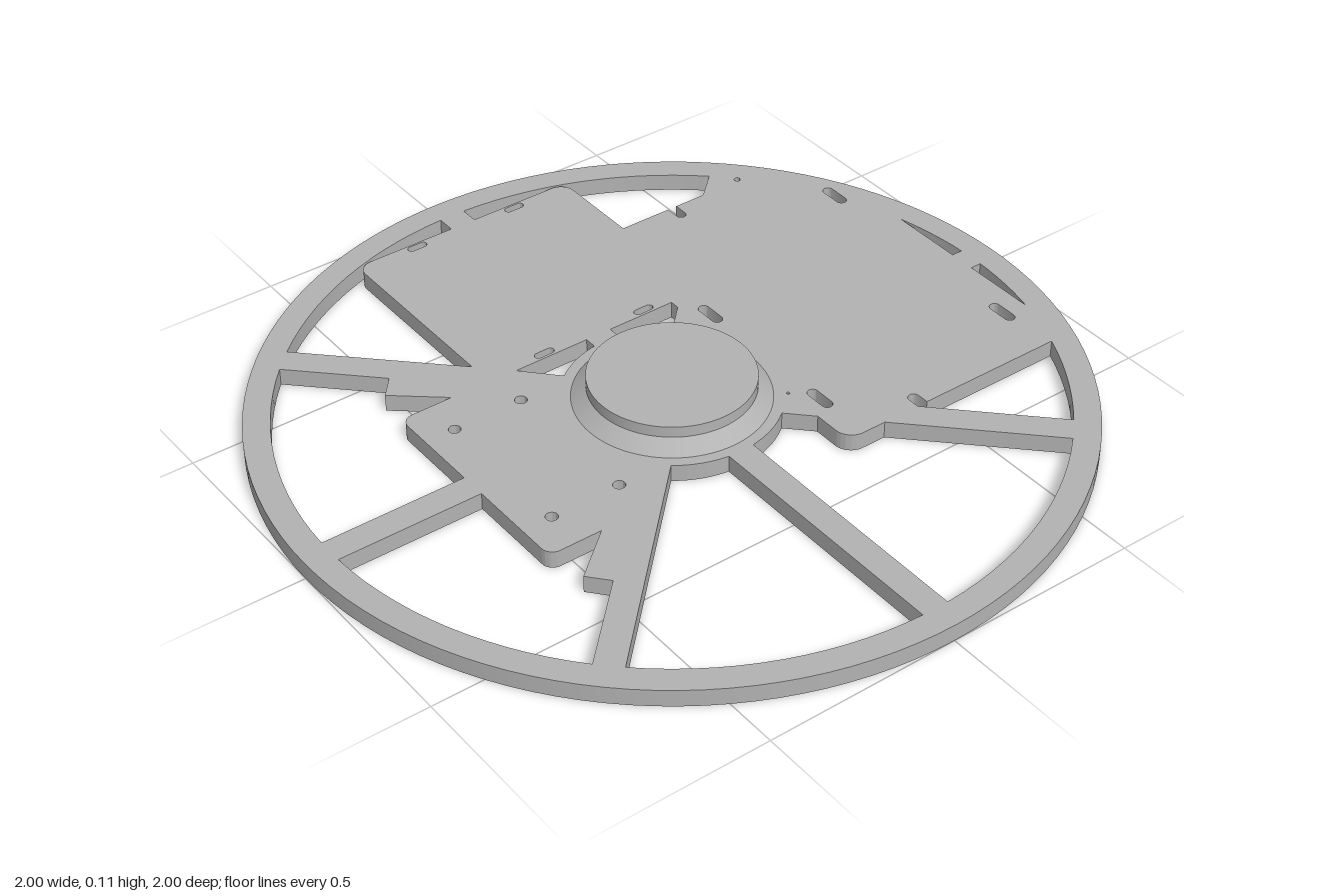
import * as THREE from 'three';
import { toCreasedNormals } from 'three/addons/utils/BufferGeometryUtils.js';

const THICK = 0.045; // plate thickness
const RIM = 0.935;   // inner radius of the rim
const BOSS = 0.265;  // radius of the disc around the hub
const E = 2.15;      // half angle of a spoke at the rim, in degrees
const B = 7.6;       // half angle of a spoke at the boss

// Points along an arc, angles in degrees.
function arc(r, a0, a1, cx = 0, cy = 0) {
  const n = Math.max(6, Math.ceil(Math.abs(a1 - a0) / 3));
  return Array.from({ length: n + 1 }, (_, i) => {
    const a = THREE.MathUtils.degToRad(a0 + ((a1 - a0) * i) / n);
    return [cx + r * Math.cos(a), cy + r * Math.sin(a)];
  });
}

const toPath = (pts) => new THREE.Path(pts.map(([x, y]) => new THREE.Vector2(x, y)));
const flip = (pts) => pts.map(([x, y]) => [x, -y]);

// Round-ended slot of half width w and half height h.
function slot(x, y, w, h) {
  const r = Math.min(w, h);
  return w > h
    ? [...arc(r, -90, 90, x + w - r, y), ...arc(r, 90, 270, x - w + r, y)]
    : [...arc(r, 0, 180, x, y + h - r), ...arc(r, 180, 360, x, y - h + r)];
}

// Openings between the spokes; the plan's +y is the back of the model.
function openings() {
  const backLeft = [
    ...arc(RIM, 45 + E, 90 - E),
    [0.035, 0.885], ...arc(0.04, 90, 0, 0.275, 0.845),
    [0.315, 0.625], [0.457, 0.625], ...arc(0.013, 180, 360, 0.47, 0.588), [0.483, 0.625],
    [0.57, 0.625],
  ];
  const backRight = [
    ...arc(RIM, 90 + E, 135 - E),
    [-0.315, 0.37], ...arc(0.04, 180, 90, -0.275, 0.845), [-0.035, 0.885],
  ];
  const side = [
    ...arc(RIM, 135 + E, 180 - E),
    [-0.56, 0.035], ...arc(0.03, 180, 90, -0.53, 0.27),
    [-0.42, 0.3], [-0.54, 0.4], [-0.497, 0.45],
  ];
  const frontRight = [...arc(RIM, 225 + E, 270 - E), ...arc(BOSS, 270 - B, 225 + B)];
  const frontLeft = [
    ...arc(RIM, 270 + E, 315 - E),
    [0.33, -0.38], ...arc(0.045, 270, 180, 0.265, -0.335), [0.22, -0.27],
    ...arc(BOSS, 315 - B, 270 + B),
  ];
  const cornerLeft = [
    ...arc(RIM, 315 + E, 336),
    [0.459, -0.38], ...arc(0.0145, 0, 180, 0.4445, -0.35), [0.43, -0.38],
  ];
  const sliver = arc(RIM, E, 14.55).concat([[0.905, 0.035]]);
  const bossRight = [[-0.24, 0.295], [-0.035, 0.295], ...arc(BOSS, 90 + B, 135 - B)];
  const bossLeft = [[0.22, 0.27], [0.22, 0.295], [0.035, 0.295], ...arc(BOSS, 90 - B, 45 + B)];
  return [backLeft, backRight, side, flip(side), frontRight, frontLeft, cornerLeft,
    sliver, flip(sliver), bossRight, bossLeft];
}

// Mounting slots and screw holes.
function fixings() {
  const list = [];
  for (const x of [-0.147, 0.147]) for (const y of [0.87, 0.312]) list.push(slot(x, y, 0.027, 0.01));
  for (const [x, y] of [[0.267, 0.2], [0.267, -0.22], [0.84, 0.42], [0.84, -0.22]]) {
    list.push(slot(x, y, 0.014, 0.04));
  }
  for (const s of [-1, 1]) {
    for (const x of [-0.48, -0.295]) list.push(arc(0.015, 0, 345, x, s * 0.195));
    list.push(arc(0.004, 0, 320, 0.22, s * 0.16));
  }
  list.push(arc(0.008, 0, 340, 0.685, 0.63));
  return list;
}

export function createModel() {
  const group = new THREE.Group();
  const grey = new THREE.MeshStandardMaterial({ color: 0xb2b2b2 });
  grey.name = 'plain grey';

  const add = (name, geometry, y) => {
    const mesh = new THREE.Mesh(geometry, grey);
    mesh.name = name;
    mesh.position.y = y;
    group.add(mesh);
  };

  // Rim, spokes and mounting plates, cut from one sheet
  const sheet = new THREE.Shape(arc(1, 0, 357).map(([x, y]) => new THREE.Vector2(x, y)));
  sheet.holes = [...openings(), ...fixings()].map(toPath);
  const wheel = new THREE.ExtrudeGeometry(sheet, { depth: THICK, bevelEnabled: false });
  wheel.rotateX(-Math.PI / 2);
  add('spokedPlate', toCreasedNormals(wheel, 0.5), 0);

  // Hub: a flared collar with a flat cap
  add('hubCollar', new THREE.CylinderGeometry(0.197, 0.238, 0.033, 96), THICK + 0.0165);
  add('hubCap', new THREE.CylinderGeometry(0.202, 0.202, 0.029, 96), 0.0915);

  return group;
}
